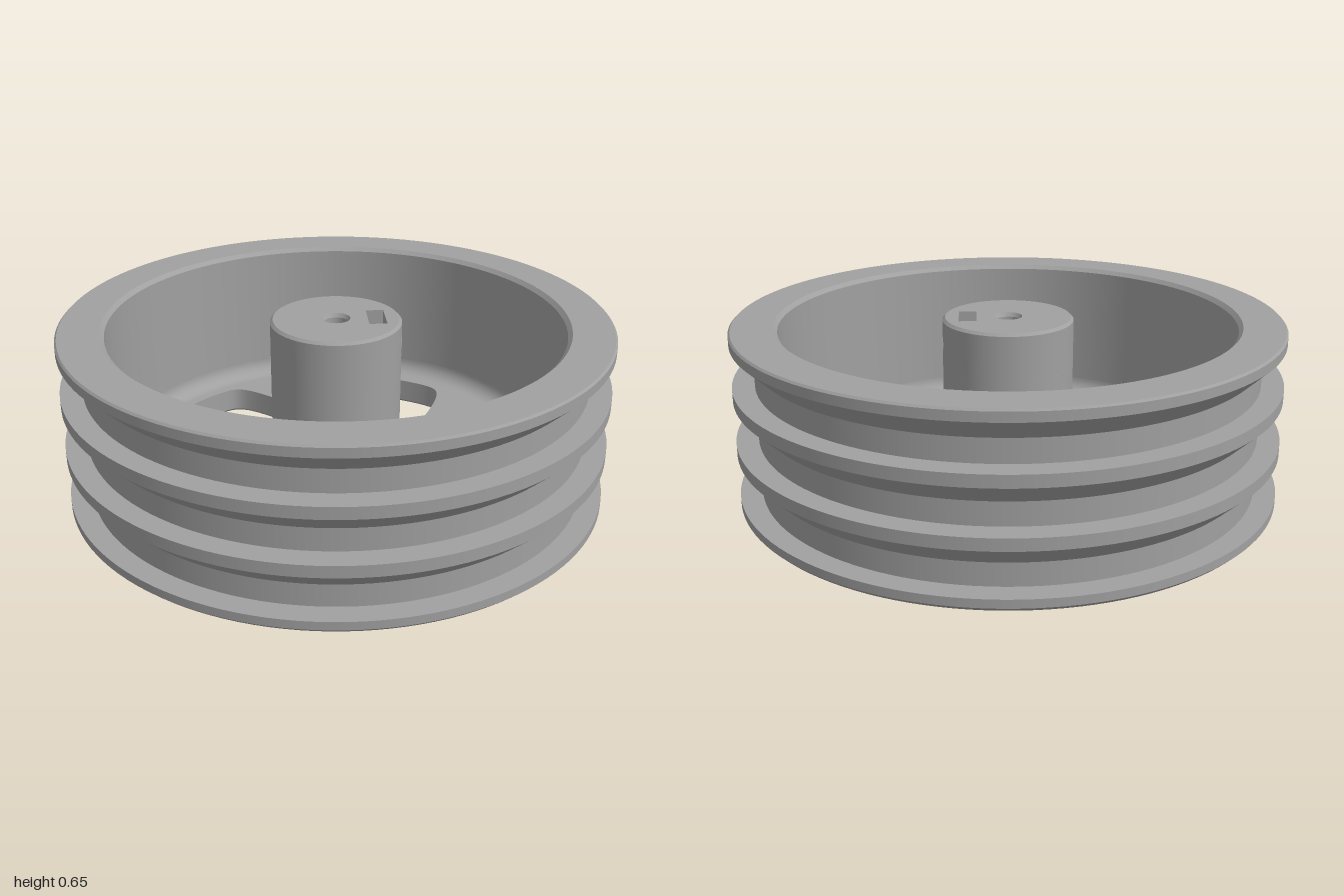
import * as THREE from 'three';
import { mergeGeometries } from 'three/addons/utils/BufferGeometryUtils.js';

const metal = new THREE.MeshStandardMaterial({ color: 0xa0a0a0, side: THREE.DoubleSide });
metal.name = 'grey metal';

const SEG = 128, HEIGHT = 0.655, WEB = 0.1;
const HUB_R = 0.24, BORE_R = 0.052, BORE_IN = 0.044;
const SCREW_Y = 0.55, SCREW_R = 0.04, PATCH_H = 0.08, PATCH_A = 0.33;

const V = (x, y) => new THREE.Vector2(x, y);

// Revolve a profile with a crisp crease at every point
function creased(points, start = 0, length = Math.PI * 2) {
  const bands = [];
  for (let i = 0; i < points.length - 1; i++) {
    const pair = [V(...points[i]), V(...points[i + 1])];
    bands.push(new THREE.LatheGeometry(pair, SEG, start, length));
  }
  return mergeGeometries(bands);
}

// Revolve a smooth quarter-round between two angles
function fillet(cx, cy, r, a0, a1) {
  const pts = [];
  for (let i = 0; i <= 10; i++) {
    const a = a0 + (a1 - a0) * i / 10;
    pts.push(V(cx + r * Math.cos(a), cy + r * Math.sin(a)));
  }
  return new THREE.LatheGeometry(pts, SEG);
}

// Wall joining two matching closed outlines at two heights
function wall(lower, y0, upper, y1, flat = false) {
  const n = lower.length, pos = [], index = [];
  lower.forEach(p => pos.push(p.x, y0, -p.y));
  upper.forEach(p => pos.push(p.x, y1, -p.y));
  for (let i = 0; i < n; i++) {
    const j = (i + 1) % n;
    index.push(i, j, n + j, i, n + j, n + i);
  }
  let g = new THREE.BufferGeometry();
  g.setAttribute('position', new THREE.Float32BufferAttribute(pos, 3));
  g.setIndex(index);
  if (flat) g = g.toNonIndexed();
  g.computeVertexNormals();
  return g;
}

const circle = r => Array.from({ length: SEG }, (_, i) => {
  const a = i / SEG * Math.PI * 2;
  return V(r * Math.cos(a), r * Math.sin(a));
});

// Flat horizontal face with holes
function face(outline, holes, y) {
  const s = new THREE.Shape(outline);
  holes.forEach(h => s.holes.push(new THREE.Path(h)));
  return new THREE.ShapeGeometry(s).rotateX(-Math.PI / 2).translate(0, y, 0);
}

// One curved window between two swept spokes, repeated five times
const windowPoints = [
  [-.155, .674], [-.134, .717], [-.075, .738], [0, .739], [.134, .727], [.283, .681],
  [.428, .596], [.465, .556], [.471, .508], [.428, .38], [.358, .251], [.326, .219],
  [.283, .219], [.235, .257], [.166, .294], [.096, .321], [.053, .358], [0, .487],
  [-.064, .578], [-.134, .636],
].map(([x, y]) => new THREE.Vector3(x, y, 0));
const windowCurve = new THREE.CatmullRomCurve3(windowPoints, true, 'centripetal');

function windowOutline(k, grow) {
  const pts = [], N = 100;
  for (let i = 0; i < N; i++) {
    const p = windowCurve.getPoint(i / N), t = windowCurve.getTangent(i / N);
    pts.push(V(p.x - t.y * grow, p.y + t.x * grow)
      .rotateAround(V(0, 0), k * Math.PI * 2 / 5));
  }
  return pts;
}

// Piece of hub wall wrapped around the set screw hole
function screwPatch() {
  const N = 64, ROWS = 6, pos = [], norm = [], index = [];
  for (let r = 0; r <= ROWS; r++) {
    for (let i = 0; i <= N; i++) {
      const t = i / N * Math.PI * 2, c = Math.cos(t), s = Math.sin(t);
      const m = Math.max(Math.abs(c), Math.abs(s)), f = r / ROWS;
      const a = THREE.MathUtils.lerp(SCREW_R / HUB_R * c, PATCH_A * c / m, f);
      const y = THREE.MathUtils.lerp(SCREW_R * s, PATCH_H * s / m, f);
      pos.push(HUB_R * Math.cos(a), SCREW_Y + y, -HUB_R * Math.sin(a));
      norm.push(Math.cos(a), 0, -Math.sin(a));
      if (r < ROWS && i < N) {
        const p = r * (N + 1) + i, q = p + N + 1;
        index.push(p, q, q + 1, p, q + 1, p + 1);
      }
    }
  }
  const g = new THREE.BufferGeometry();
  g.setAttribute('position', new THREE.Float32BufferAttribute(pos, 3));
  g.setAttribute('normal', new THREE.Float32BufferAttribute(norm, 3));
  g.setIndex(index);
  return g;
}

export function createModel() {
  const model = new THREE.Group();
  model.name = 'tripleGroovePulley';
  const add = (name, geometry, parent = model) => {
    const mesh = new THREE.Mesh(geometry, metal);
    mesh.name = name;
    parent.add(mesh);
  };
  const group = name => {
    const g = new THREE.Group();
    g.name = name;
    model.add(g);
    return g;
  };

  // Rim: three belt grooves outside, plain wall inside
  const rim = group('rim');
  const profile = [[.985, 0], [1, .015]];
  for (let i = 0; i < 3; i++) {
    const y = .046 + i * .204;
    profile.push([1, y], [.92, y], [.92, y + .083], [1, y + .16]);
  }
  profile.push([1, .648], [.993, HEIGHT], [.845, HEIGHT], [.83, .64], [.83, WEB + .06]);
  add('groovedRim', creased(profile), rim);
  add('rimFillet', fillet(.77, WEB + .06, .06, 0, -Math.PI / 2), rim);

  // Web: spoked floor with chamfered windows
  const web = group('spokedWeb');
  const windows = [], wide = [];
  for (let k = 0; k < 5; k++) {
    windows.push(windowOutline(k, 0));
    wide.push(windowOutline(k, .01));
  }
  add('webTop', face(circle(.77), [...windows, circle(.27)], WEB), web);
  add('webBottom', face(circle(.985), [...wide, circle(BORE_R)], 0), web);
  windows.forEach((outline, k) => {
    add('windowChamfer', wall(wide[k], 0, outline, .01), web);
    add('windowWall', wall(outline, .01, outline, WEB), web);
  });

  // Hub: cylinder with fillet, chamfered top and a gap for the screw patch
  const hub = group('hub');
  const y0 = SCREW_Y - PATCH_H, y1 = SCREW_Y + PATCH_H;
  add('hubFillet', fillet(.27, WEB + .03, .03, -Math.PI / 2, -Math.PI), hub);
  add('hubLower', creased([[HUB_R, WEB + .03], [HUB_R, y0]]), hub);
  add('hubUpper', creased([[HUB_R, y0], [HUB_R, y1]],
    Math.PI / 2 + PATCH_A, Math.PI * 2 - PATCH_A * 2), hub);
  add('hubScrewSide', screwPatch(), hub);
  add('hubEdge', creased([[HUB_R, y1], [HUB_R, .645], [.23, HEIGHT]]), hub);

  // Nut slot and bore opening through the hub top
  const slot = [V(.115, -.068), V(.18, -.068), V(.18, .068), V(.115, .068)];
  add('hubTop', face(circle(.23), [circle(BORE_R), slot], HEIGHT), hub);
  add('nutSlotWalls', wall(slot, .48, slot, HEIGHT, true), hub);
  add('nutSlotFloor', face(slot, [], .48), hub);
  add('shaftBore', creased([[BORE_R, HEIGHT], [BORE_IN, HEIGHT - .015],
    [BORE_IN, .01], [BORE_R, 0]]), hub);

  // Set screw hole running from the hub side to the slot
  const screw = new THREE.CylinderGeometry(SCREW_R, SCREW_R, .059, 32, 1, true);
  add('setScrewHole', screw.rotateZ(Math.PI / 2).translate(.2095, SCREW_Y, 0), hub);

  return model;
}
